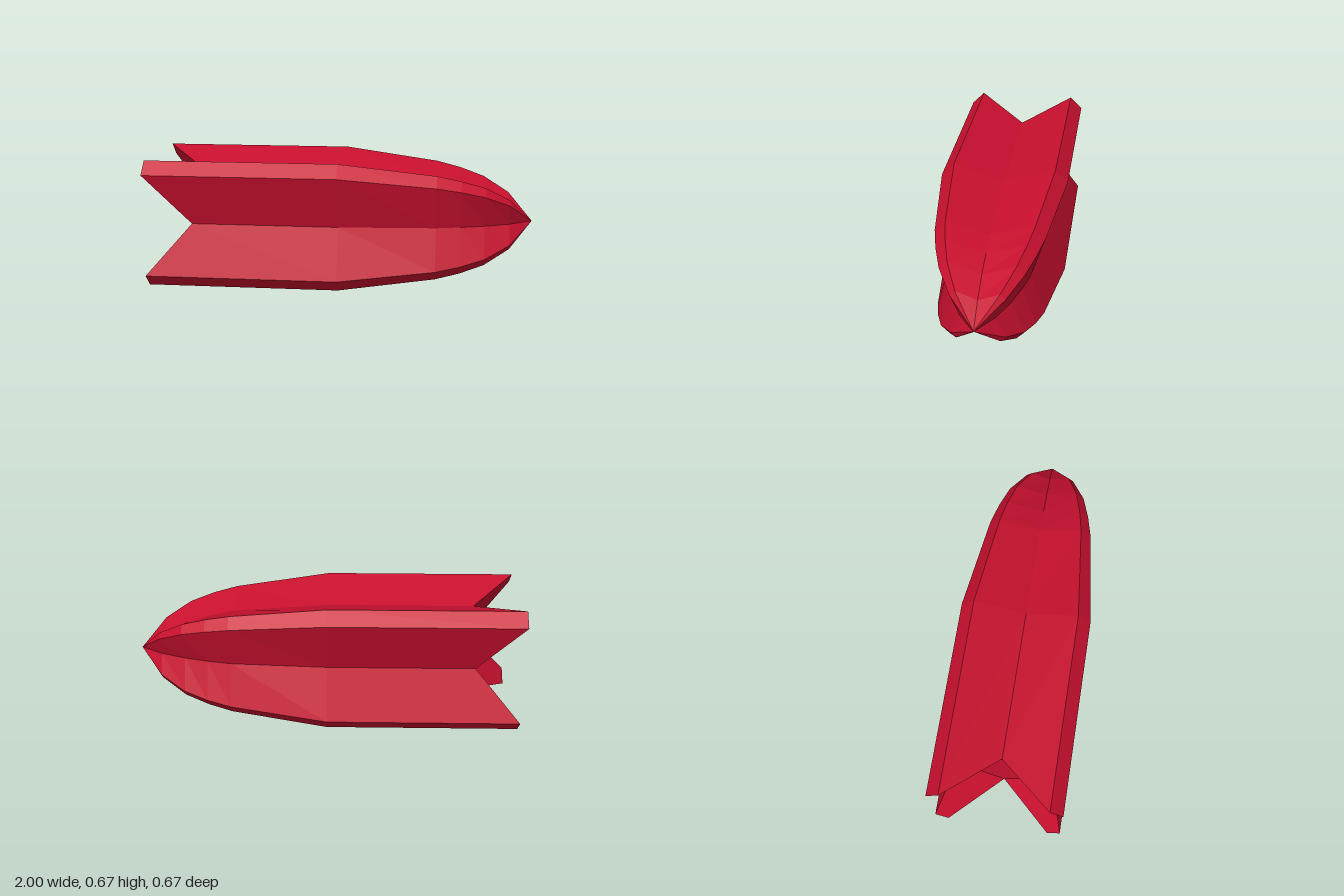
import * as THREE from 'three';

// Faceted four-finned dart: a star section swept along x to a pointed nose
export function createModel() {
  const group = new THREE.Group();
  group.name = 'finnedDart';
  const red = new THREE.MeshStandardMaterial({ color: 0xc8102e });
  red.name = 'crimson';
  red.flatShading = true;

  const midY = 0.333, inner = 0.267, outer = 0.333;
  // Star section as [y, z, isValley], from +y towards +z
  const section = [
    [0.252, 0, true], [outer, inner], [inner, outer],
    [0, 0.248, true], [-inner, outer], [-outer, inner],
    [-0.233, 0, true], [-outer, -inner], [-inner, -outer],
    [0, -0.235, true], [inner, -outer], [outer, -inner],
  ];
  const n = section.length;
  // Stations: fin x, valley x, fin scale, valley scale
  const stations = [
    [-1, -0.765, 1, 1], [0, 0, 1, 1], [0.5, 0.5, 0.815, 0.86],
    [0.625, 0.625, 0.73, 0.74], [0.75, 0.75, 0.61, 0.58],
    [0.88, 0.88, 0.39, 0.35], [1, 1, 0, 0],
  ];
  const rings = stations.map(([finX, valleyX, finS, valleyS]) =>
    section.map(([y, z, valley]) => {
      const s = valley ? valleyS : finS;
      return [valley ? valleyX : finX, midY + y * s, z * s];
    }));

  const makeMesh = (name, triangles) => {
    const geometry = new THREE.BufferGeometry();
    geometry.setAttribute('position', new THREE.Float32BufferAttribute(triangles.flat(), 3));
    geometry.computeVertexNormals();
    const mesh = new THREE.Mesh(geometry, red);
    mesh.name = name;
    group.add(mesh);
  };

  // Long sides running from the tail to the nose
  const sides = [];
  for (let i = 0; i < rings.length - 1; i++) {
    for (let j = 0; j < n; j++) {
      const k = (j + 1) % n;
      const a = rings[i][j], b = rings[i][k], c = rings[i + 1][k], d = rings[i + 1][j];
      sides.push(a, b, c);
      if (i < rings.length - 2) sides.push(a, c, d);
    }
  }
  makeMesh('finnedBody', sides);

  // Notched tail: a slanted face behind each fin and a flat middle
  const tail = [];
  const ring = rings[0], centre = [-0.765, midY, 0];
  for (let j = 0; j < n; j += 3) {
    const v = ring[j], c1 = ring[j + 1], c2 = ring[j + 2], next = ring[(j + 3) % n];
    tail.push(next, c2, c1, next, c1, v, centre, next, v);
  }
  makeMesh('notchedTail', tail);

  return group;
}
